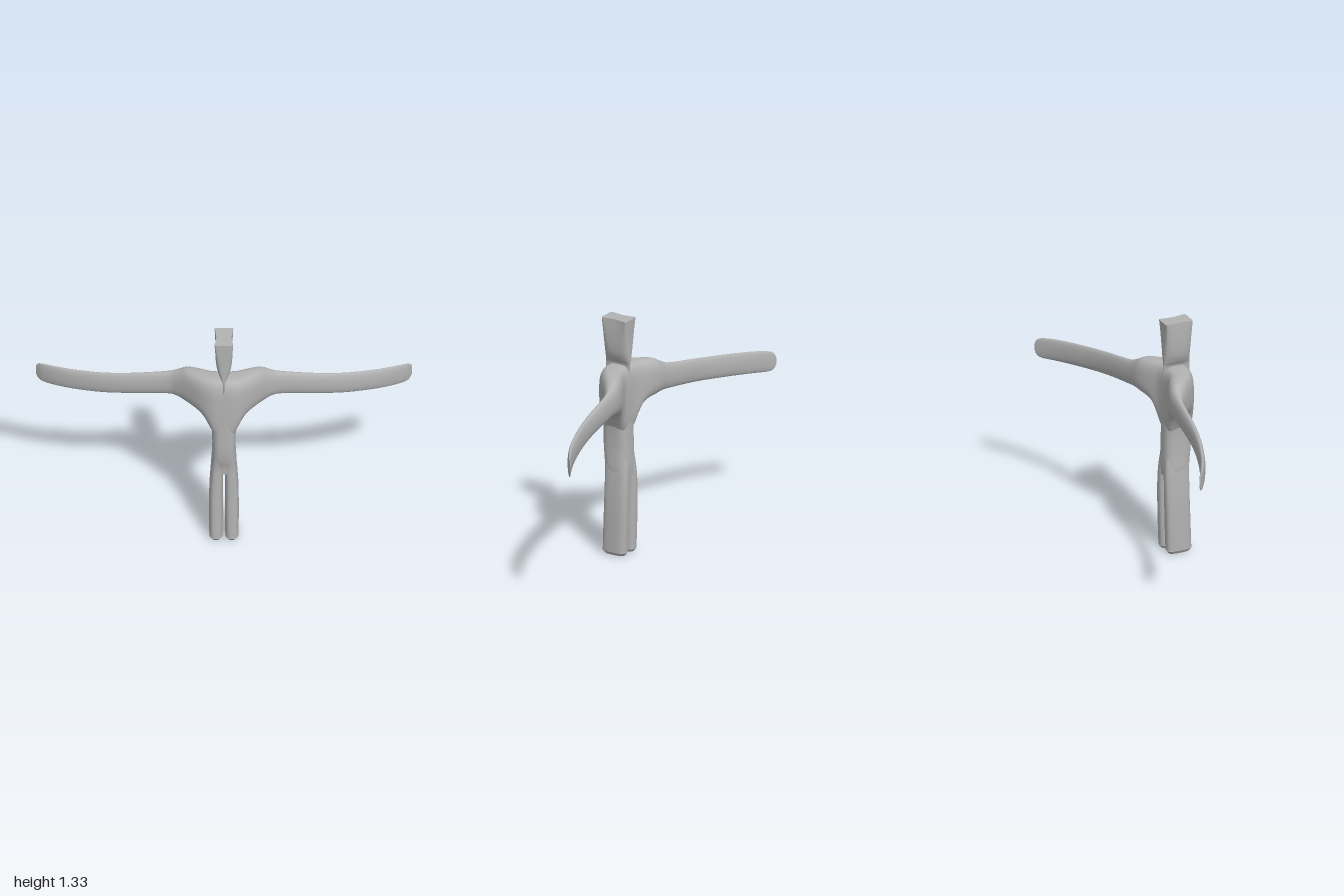
import * as THREE from 'three';

// Smooth interpolation of section rows
function refine(rows, steps) {
  const out = [];
  for (let i = 0; i < rows.length - 1; i++) {
    const p0 = rows[Math.max(i - 1, 0)], p1 = rows[i];
    const p2 = rows[i + 1], p3 = rows[Math.min(i + 2, rows.length - 1)];
    for (let s = 0; s < steps; s++) {
      const t = s / steps;
      out.push(p1.map((v, k) => v + 0.5 * t * (p2[k] - p0[k]
        + t * (2 * p0[k] - 5 * v + 4 * p2[k] - p3[k]
        + t * (3 * (v - p2[k]) + p3[k] - p0[k])))));
    }
  }
  out.push(rows[rows.length - 1]);
  return out;
}

// Rounded sections along an axis. Row: [t, aLow, aHigh, bLow, bHigh, squareness, pinch]
// axis 'y': a = z, b = x; axis 'x': a = y, b = z
function loft(rows, axis, steps = 4, sides = 40) {
  const pos = [], idx = [];
  const put = (t, a, b) => (axis === 'y' ? pos.push(b, t, a) : pos.push(t, a, b));
  const ring = ([t, a0, a1, b0, b1, n, pinch = 0]) => {
    const start = pos.length / 3;
    for (let j = 0; j < sides; j++) {
      const th = j / sides * Math.PI * 2, c = Math.cos(th), s = Math.sin(th);
      const u = Math.sign(c) * Math.abs(c) ** (2 / n);
      const v = Math.sign(s) * Math.abs(s) ** (2 / n) * (1 - pinch * (1 - u * u));
      put(t, (a0 + a1) / 2 + u * (a1 - a0) / 2, (b0 + b1) / 2 + v * (b1 - b0) / 2);
    }
    return start;
  };
  const all = refine(rows, steps);
  const starts = all.map(ring);
  for (let i = 0; i < starts.length - 1; i++) {
    for (let j = 0; j < sides; j++) {
      const k = (j + 1) % sides, p = starts[i], q = starts[i + 1];
      idx.push(p + j, p + k, q + j, p + k, q + k, q + j);
    }
  }
  // End caps with their own vertices for a crisp rim
  [all[0], all[all.length - 1]].forEach((row, end) => {
    const r = ring(row), centre = pos.length / 3;
    put(row[0], (row[1] + row[2]) / 2, (row[3] + row[4]) / 2);
    for (let j = 0; j < sides; j++) {
      const k = (j + 1) % sides;
      idx.push(centre, r + (end ? j : k), r + (end ? k : j));
    }
  });
  const geo = new THREE.BufferGeometry();
  geo.setAttribute('position', new THREE.Float32BufferAttribute(pos, 3));
  geo.setIndex(idx);
  geo.computeVertexNormals();
  return geo;
}

export function createModel() {
  const group = new THREE.Group();
  const grey = new THREE.MeshStandardMaterial({ color: 0xb2b2b2 });
  grey.name = 'plainGrey';
  const add = (name, geo) => {
    const mesh = new THREE.Mesh(geo, grey);
    mesh.name = name;
    group.add(mesh);
  };

  // Torso column
  add('torso', loft([
    [0.44, 0.055, 0.185, -0.066, 0.066, 3],
    [0.49, 0.053, 0.19, -0.068, 0.068, 3],
    [0.54, 0.054, 0.203, -0.065, 0.065, 3],
    [0.62, 0.056, 0.211, -0.062, 0.062, 3],
    [0.72, 0.058, 0.211, -0.065, 0.065, 3],
    [0.8, 0.058, 0.21, -0.078, 0.078, 3],
    [0.9, 0.06, 0.208, -0.08, 0.08, 3],
  ], 'y'));

  // Shoulders flowing into swept-back arms, mirrored about the middle
  const half = [
    [0.045, 0.69, 1.062, 0.053, 0.21, 4],
    [0.075, 0.745, 1.061, 0.045, 0.203, 3.6],
    [0.11, 0.805, 1.06, 0.03, 0.186, 3.2],
    [0.15, 0.832, 1.058, 0.012, 0.157, 2.8],
    [0.2, 0.846, 1.05, -0.003, 0.112, 2.5],
    [0.25, 0.858, 1.021, -0.008, 0.068, 2.3],
    [0.31, 0.857, 0.998, -0.014, 0.038, 2.2],
    [0.5, 0.835, 0.965, -0.038, 0.006, 2.1],
    [0.65, 0.815, 0.942, -0.07, -0.03, 2.1],
    [0.8, 0.798, 0.923, -0.12, -0.083, 2.1],
    [0.9, 0.788, 0.91, -0.163, -0.131, 2.1],
    [0.965, 0.784, 0.898, -0.196, -0.174, 2.1],
    [0.99, 0.796, 0.884, -0.21, -0.198, 2.1],
    [1, 0.82, 0.86, -0.214, -0.209, 2.1],
  ];
  const mirrored = half.map(([x, ...rest]) => [-x, ...rest]).reverse();
  add('shouldersAndArms', loft(
    [...mirrored, [0, 0.68, 1.062, 0.055, 0.211, 4], ...half], 'x'));

  // Legs with chamfered feet
  const legRows = [
    [0, 0.07, 0.185, 0.018, 0.066, 3],
    [0.018, 0.057, 0.199, 0.008, 0.077, 3],
    [0.03, 0.057, 0.199, 0.007, 0.078, 3],
    [0.15, 0.053, 0.195, 0.006, 0.079, 3],
    [0.3, 0.05, 0.19, 0.006, 0.078, 3],
    [0.4, 0.049, 0.189, 0.005, 0.073, 3],
    [0.47, 0.051, 0.189, 0.001, 0.068, 3],
    [0.54, 0.056, 0.198, -0.005, 0.06, 3],
  ];
  add('leftLeg', loft(legRows, 'y'));
  add('rightLeg', loft(legRows.map(([y, a, b, lo, hi, n]) => [y, a, b, -hi, -lo, n]), 'y'));

  // Wedge-shaped head: thin at the neck, flared corners at the flat top
  const headRow = (y, z0, z1, w, n, pinch) => [y, z0, z1, -w, w, n, pinch];
  add('head', loft([
    headRow(1.0, 0.065, 0.211, 0.006, 4, 0),
    headRow(1.065, 0.062, 0.211, 0.008, 4, 0),
    headRow(1.09, 0.06, 0.211, 0.021, 3, 0),
    headRow(1.13, 0.059, 0.211, 0.036, 3, 0),
    headRow(1.19, 0.059, 0.211, 0.045, 4, 0.04),
    headRow(1.26, 0.058, 0.212, 0.05, 6, 0.12),
    headRow(1.325, 0.056, 0.213, 0.055, 10, 0.27),
  ], 'y', 4, 64));

  // Fine ridge down the front of the neck
  const ridge = new THREE.BoxGeometry(0.006, 0.15, 0.012);
  ridge.translate(0, 1.045, 0.207);
  add('neckRidge', ridge);
  return group;
}
